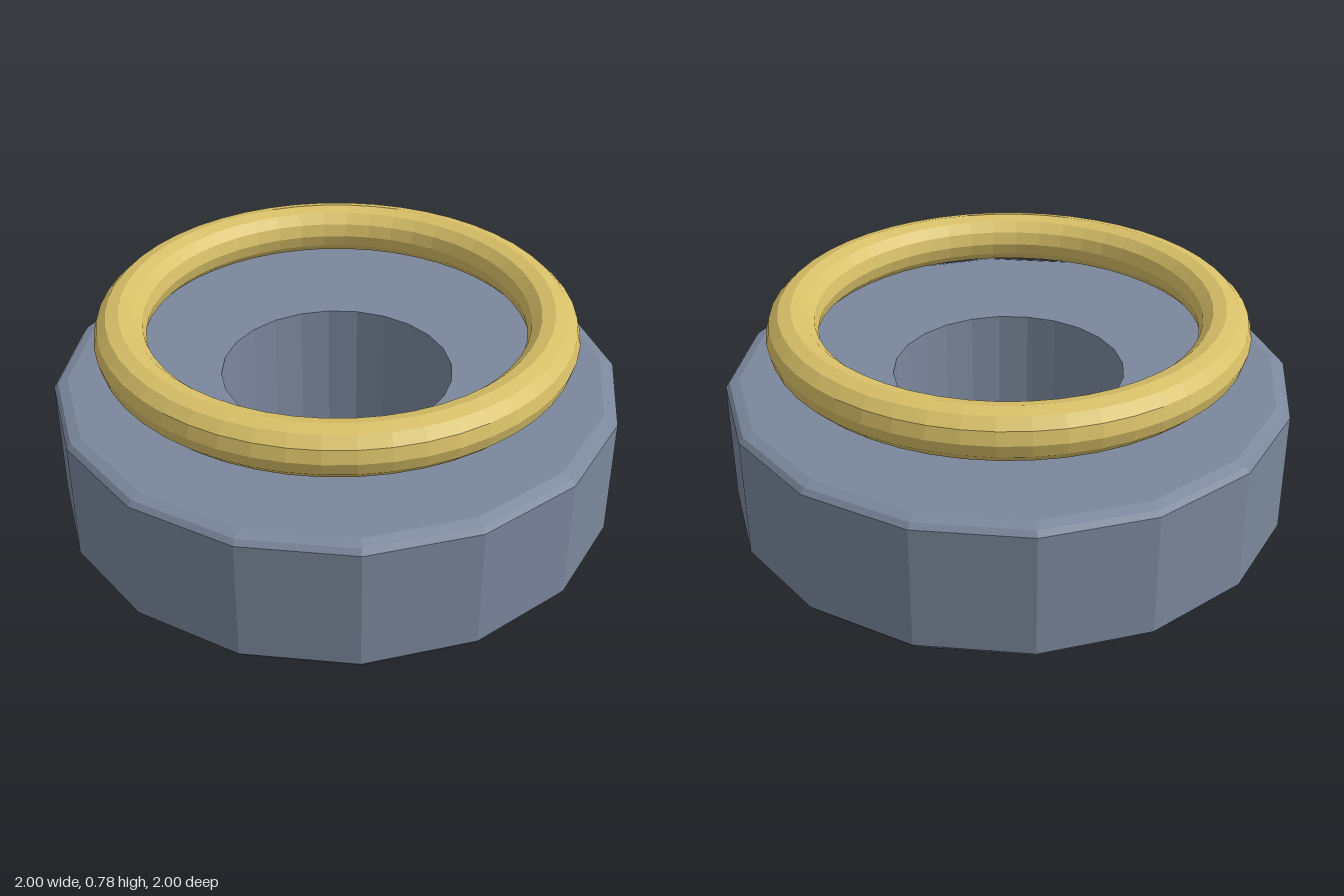
import * as THREE from 'three';

const HEIGHT = 0.5, OUTER_SIDES = 16, HOLE_SIDES = 24, HOLE_RADIUS = 0.41, CAP_RADIUS = 0.95;

// Regular polygon corners with one corner on each axis
function polygon(radius, sides) {
  return Array.from({ length: sides }, (_, i) => {
    const a = (i / sides) * Math.PI * 2;
    return new THREE.Vector2(Math.cos(a) * radius, Math.sin(a) * radius);
  });
}

export function createModel() {
  const group = new THREE.Group();
  const steel = new THREE.MeshStandardMaterial({ color: 0x7b879c, flatShading: true });
  steel.name = 'slate steel';
  const gold = new THREE.MeshStandardMaterial({ color: 0xd8c068, flatShading: true });
  gold.name = 'pale gold';

  const add = (name, geometry, material, parent) => {
    const mesh = new THREE.Mesh(geometry, material);
    mesh.name = name;
    parent.add(mesh);
    return mesh;
  };
  const lathe = (points, sides) =>
    new THREE.LatheGeometry(points.map(([r, y]) => new THREE.Vector2(r, y)), sides);

  // Base: faceted block with rounded rims and a straight bore
  const base = new THREE.Group();
  base.name = 'base';
  group.add(base);
  add('baseWall', lathe([
    [CAP_RADIUS, 0], [0.985, 0.012], [1, 0.03],
    [1, HEIGHT - 0.03], [0.985, HEIGHT - 0.012], [CAP_RADIUS, HEIGHT],
  ], OUTER_SIDES), steel, base);
  add('boreWall', lathe([[HOLE_RADIUS, HEIGHT], [HOLE_RADIUS, 0]], HOLE_SIDES), steel, base);

  // Flat end faces with the bore cut out
  const face = new THREE.Shape(polygon(CAP_RADIUS, OUTER_SIDES));
  face.holes.push(new THREE.Path(polygon(HOLE_RADIUS, HOLE_SIDES)));
  const top = add('topFace', new THREE.ShapeGeometry(face), steel, base);
  top.rotation.x = -Math.PI / 2;
  top.position.y = HEIGHT;
  const bottom = add('bottomFace', new THREE.ShapeGeometry(face), steel, base);
  bottom.rotation.x = Math.PI / 2;

  // Ring floating above the base
  const ring = add('ring', new THREE.TorusGeometry(0.75, 0.09, 12, 48), gold, group);
  ring.rotation.x = Math.PI / 2;
  ring.position.y = 0.69;

  return group;
}
